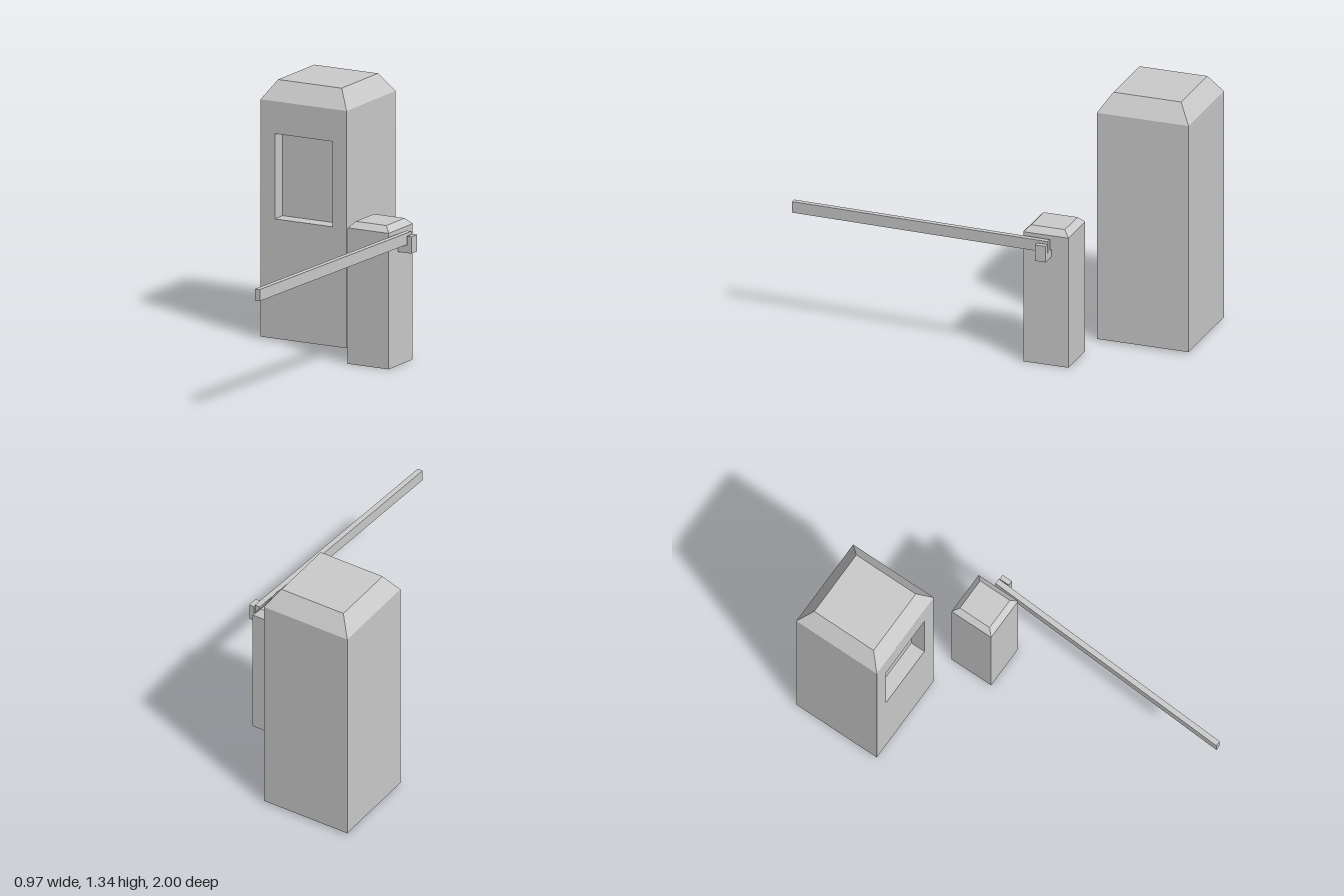
import * as THREE from 'three';

const material = new THREE.MeshStandardMaterial({ color: 0xcccccc, flatShading: true });

function addMesh(parent, name, geometry) {
  const mesh = new THREE.Mesh(geometry, material);
  mesh.name = name;
  parent.add(mesh);
  return mesh;
}

// Box given by its lowest and highest corners
function boxBetween(min, max) {
  const size = max.map((v, i) => v - min[i]);
  const mid = max.map((v, i) => (v + min[i]) / 2);
  return new THREE.BoxGeometry(...size).translate(...mid);
}

// Moves each vertex of a geometry by a rule
function reshape(geometry, rule) {
  const pos = geometry.attributes.position;
  const v = new THREE.Vector3();
  for (let i = 0; i < pos.count; i++) {
    rule(v.fromBufferAttribute(pos, i));
    pos.setXYZ(i, v.x, v.y, v.z);
  }
  geometry.computeVertexNormals();
  return geometry;
}

// Cap whose top is drawn in by the same inset on all four sides
function bevelCap(min, max, inset) {
  const cx = (min[0] + max[0]) / 2, cz = (min[2] + max[2]) / 2;
  const middle = (min[1] + max[1]) / 2;
  return reshape(boxBetween(min, max), (v) => {
    if (v.y < middle) return;
    v.x -= Math.sign(v.x - cx) * inset;
    v.z -= Math.sign(v.z - cz) * inset;
  });
}

function rectangle(PathType, x0, y0, x1, y1) {
  return new PathType([[x0, y0], [x1, y0], [x1, y1], [x0, y1]].map((p) => new THREE.Vector2(...p)));
}

function createBooth() {
  const booth = new THREE.Group();
  booth.name = 'booth';
  const x0 = -0.485, x1 = 0.015, y0 = 0.01, y1 = 1.24, back = -1, front = -0.505;
  const recess = 0.08;

  addMesh(booth, 'boothBody', boxBetween([x0, y0, back], [x1, y1, front - recess]));

  // Front wall with the window opening
  const wall = rectangle(THREE.Shape, x0, y0, x1, y1);
  wall.holes.push(rectangle(THREE.Path, -0.402, 0.63, -0.067, 1.072));
  const wallGeometry = new THREE.ExtrudeGeometry(wall, { depth: recess, bevelEnabled: false });
  addMesh(booth, 'boothWindowWall', wallGeometry.translate(0, 0, front - recess));

  addMesh(booth, 'boothRoof', bevelCap([x0, y1, back], [x1, 1.337, front], 0.065));
  return booth;
}

function createBarrier() {
  const barrier = new THREE.Group();
  barrier.name = 'barrier';

  // Post and its cap
  addMesh(barrier, 'barrierPost', boxBetween([0.165, 0, -0.5], [0.403, 0.705, -0.257]));
  addMesh(barrier, 'barrierPostCap', bevelCap([0.165, 0.705, -0.5], [0.403, 0.736, -0.257], 0.03));

  // L-shaped bracket that carries the arm
  const bracket = new THREE.Shape([
    [0.403, 0.59], [0.482, 0.59], [0.482, 0.677], [0.455, 0.677], [0.455, 0.63], [0.403, 0.63],
  ].map((p) => new THREE.Vector2(...p)));
  const bracketGeometry = new THREE.ExtrudeGeometry(bracket, { depth: 0.058, bevelEnabled: false });
  addMesh(barrier, 'armBracket', bracketGeometry.translate(0, 0, -0.408));

  // Arm, drifting slightly inward and down toward its tip
  const rear = -0.408, tip = 1;
  const arm = reshape(boxBetween([0.42, 0.63, rear], [0.449, 0.69, tip]), (v) => {
    const t = (v.z - rear) / (tip - rear);
    v.x -= 0.071 * t;
    v.y -= 0.014 * t;
  });
  addMesh(barrier, 'barrierArm', arm);
  return barrier;
}

export function createModel() {
  const model = new THREE.Group();
  model.name = 'parkingBarrier';
  model.add(createBooth(), createBarrier());
  return model;
}
